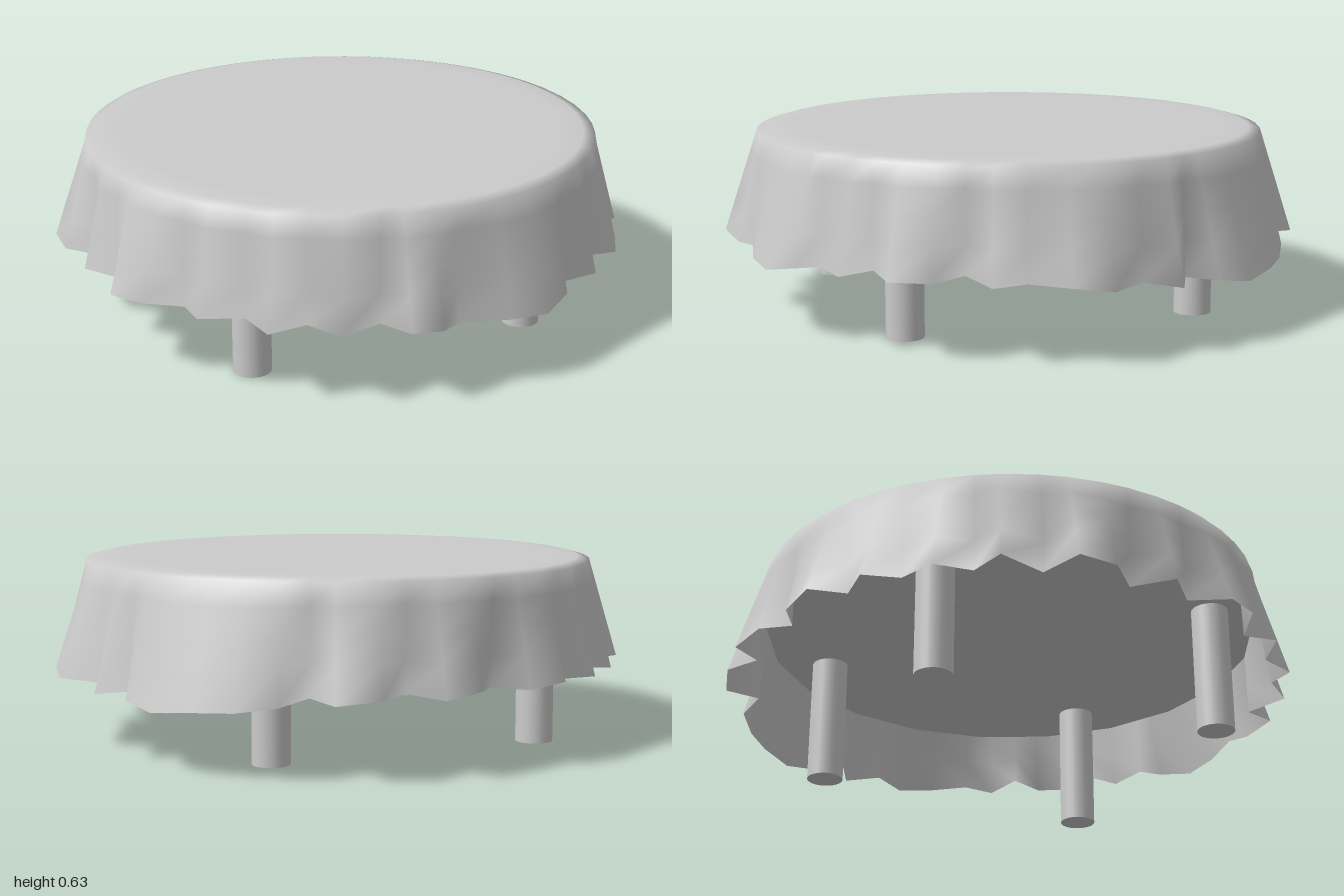
import * as THREE from 'three';

const CX = -0.02; // table centre along x

// Hem of the cloth seen from above: x, z pairs, from +x round by the back
const HEM = [
  1, 0, 0.9, -0.13, 0.95, -0.25, 0.85, -0.3, 0.89, -0.4, 0.85, -0.53, 0.76, -0.65, 0.65, -0.74,
  0.53, -0.81, 0.42, -0.79, 0.39, -0.92, 0.25, -0.96, 0.14, -0.89, 0.05, -0.995, -0.09, -0.96,
  -0.17, -0.87, -0.28, -0.93, -0.42, -0.91, -0.47, -0.79, -0.6, -0.8, -0.62, -0.67, -0.77, -0.63,
  -0.77, -0.49, -0.9, -0.46, -0.87, -0.3, -1, -0.24, -1, -0.11, -0.9, -0.01, -0.99, 0.11,
  -0.9, 0.2, -0.965, 0.33, -0.9, 0.45, -0.77, 0.5, -0.77, 0.63, -0.63, 0.68, -0.6, 0.8,
  -0.475, 0.81, -0.4, 0.915, -0.25, 0.86, -0.2, 0.99, -0.08, 0.965, -0.01, 0.93, 0.16, 0.96,
  0.3, 0.945, 0.41, 0.875, 0.42, 0.79, 0.58, 0.77, 0.6, 0.66, 0.73, 0.65, 0.8, 0.53, 0.77, 0.41,
  0.9, 0.365, 0.9, 0.25, 0.98, 0.13,
];

// Hem height: sags at the back left, the left and the front
function hemHeight(x, z, i) {
  const sag = (px, pz, width, depth) =>
    depth * Math.exp(-((x - px) ** 2 + (z - pz) ** 2) / (width * width));
  return 0.264 + 0.008 * Math.sin(i * 2.3)
    - sag(0.8, -0.6, 0.35, 0.06) - sag(0.95, -0.08, 0.25, 0.025) - sag(0.2, 0.95, 0.3, 0.032);
}

function clothGeometry() {
  // Pairs of radius and height across the top to the softly shaded rim
  const top = [[0, 0.629], [0.77, 0.629], [0.85, 0.627], [0.89, 0.616]];
  const drops = [0.2, 0.45, 0.7, 1];
  const rows = top.length + drops.length;
  const n = HEM.length / 2;
  const positions = [];
  const index = [];
  for (let row = 0; row < rows; row++) {
    for (let i = 0; i < n; i++) {
      const hx = HEM[2 * i], hz = HEM[2 * i + 1];
      const angle = Math.atan2(hz, hx - CX);
      const [r, y] = top[Math.min(row, top.length - 1)];
      const t = row < top.length ? 0 : drops[row - top.length];
      positions.push(
        THREE.MathUtils.lerp(CX + r * Math.cos(angle), hx, t),
        THREE.MathUtils.lerp(y, hemHeight(hx, hz, i), t),
        THREE.MathUtils.lerp(r * Math.sin(angle), hz, t),
      );
    }
  }
  for (let row = 0; row < rows - 1; row++) {
    for (let i = 0; i < n; i++) {
      const a = row * n + i, b = row * n + (i + 1) % n;
      const c = a + n, d = b + n;
      if (row > 0) index.push(a, c, b);
      index.push(b, c, d);
    }
  }
  const geometry = new THREE.BufferGeometry();
  geometry.setAttribute('position', new THREE.Float32BufferAttribute(positions, 3));
  geometry.setIndex(index);
  geometry.computeVertexNormals();
  // The centre row shares one point, so its normals all point up
  for (let i = 0; i < n; i++) geometry.attributes.normal.setXYZ(i, 0, 1, 0);
  return geometry;
}

export function createModel() {
  const group = new THREE.Group();
  group.name = 'clothCoveredTable';
  const grey = new THREE.MeshStandardMaterial({ color: 0xcccccc });
  const clothGrey = new THREE.MeshStandardMaterial({ color: 0xcccccc, side: THREE.DoubleSide });

  function add(name, geometry, material, x, y, z) {
    const mesh = new THREE.Mesh(geometry, material);
    mesh.name = name;
    mesh.position.set(x, y, z);
    group.add(mesh);
  }

  // Draped cloth with a pleated skirt
  add('tablecloth', clothGeometry(), clothGrey, 0, 0, 0);

  // Round board under the cloth
  add('tableTop', new THREE.CylinderGeometry(0.872, 0.872, 0.16, 20), grey, CX, 0.533, 0);

  // Four round legs
  const leg = new THREE.CylinderGeometry(0.064, 0.064, 0.47, 24);
  for (const [name, x, z] of [
    ['frontLeftLeg', 0.44, 0.515], ['frontRightLeg', -0.55, 0.515],
    ['backLeftLeg', 0.44, -0.518], ['backRightLeg', -0.535, -0.518],
  ]) add(name, leg, grey, x, 0.235, z);

  return group;
}
